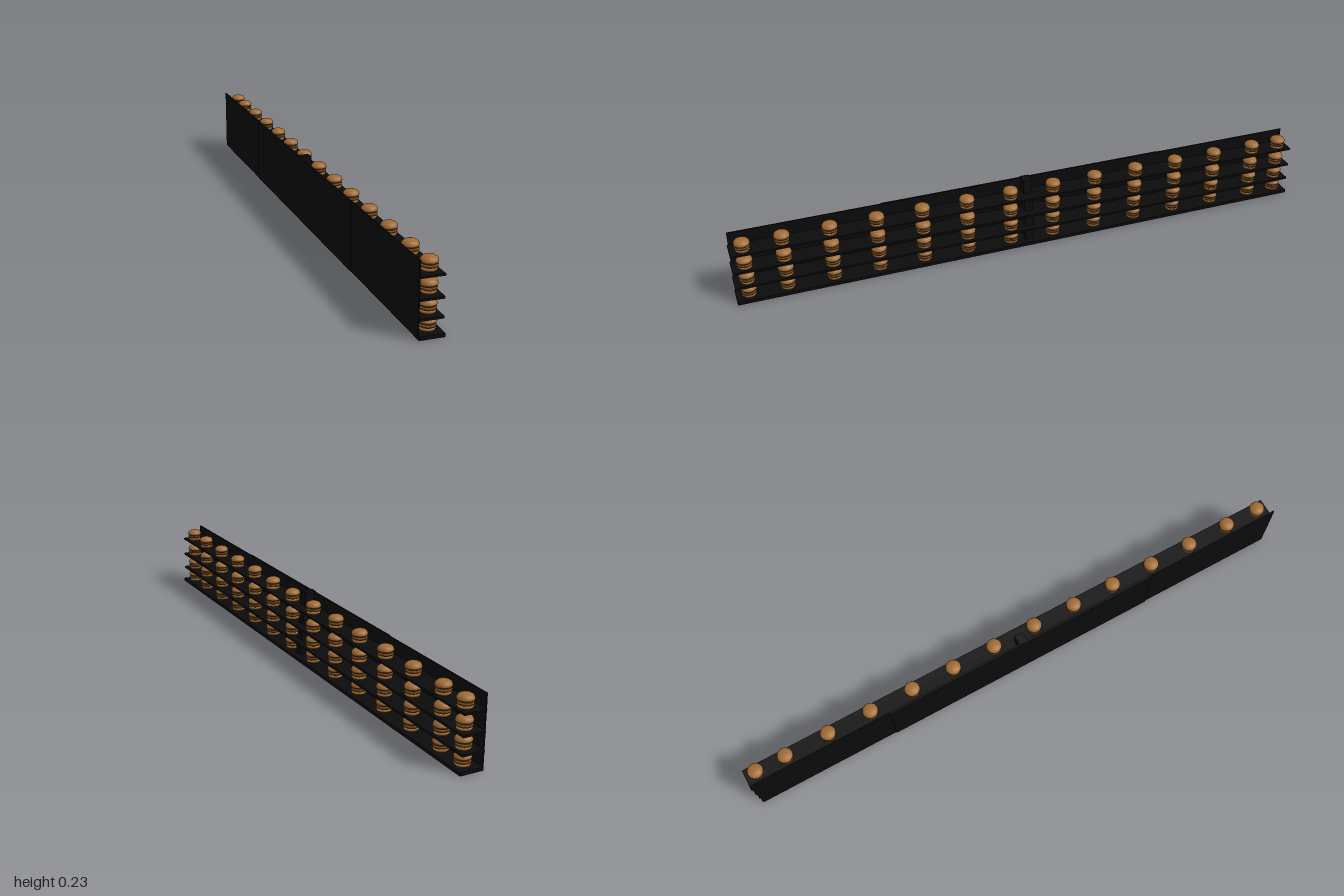
import * as THREE from 'three';

const mat = (name, color) => {
  const m = new THREE.MeshStandardMaterial({ color });
  m.name = name;
  return m;
};

export function createModel() {
  const black = mat('black', 0x0b0b0b);
  const bunBrown = mat('bunBrown', 0xa06b34);
  const pattyBrown = mat('pattyBrown', 0x7a4e24);
  const seamDark = mat('seamDark', 0x35220f);
  const cheeseTan = mat('cheeseTan', 0x946228);

  const model = new THREE.Group();
  model.name = 'burgerShelf';

  const box = (name, x0, x1, y0, y1, z0, z1) => {
    const m = new THREE.Mesh(new THREE.BoxGeometry(x1 - x0, y1 - y0, z1 - z0), black);
    m.name = name;
    m.position.set((x0 + x1) / 2, (y0 + y1) / 2, (z0 + z1) / 2);
    model.add(m);
  };

  // Back wall in four panels, the middle pair set slightly further back
  for (let i = 0; i < 4; i++) {
    const back = i === 1 || i === 2 ? -0.042 : -0.039;
    box('backPanel', back, -0.035, 0.005, 0.228, -0.996 + i * 0.498, -0.498 + i * 0.498);
  }

  // Base and three shelves
  box('base', -0.036, 0.041, 0, 0.011, -1, 1);
  const shelves = [[0.055, 0.062], [0.112, 0.119], [0.177, 0.183]];
  for (const [y0, y1] of shelves) box('shelf', -0.037, 0.036, y0, y1, -1, 1);

  // Tapered centre brace
  const side = new THREE.Shape([
    new THREE.Vector2(-0.042, 0.005), new THREE.Vector2(0.02, 0.005),
    new THREE.Vector2(-0.004, 0.231), new THREE.Vector2(-0.042, 0.231),
  ]);
  const brace = new THREE.Mesh(
    new THREE.ExtrudeGeometry(side, { depth: 0.03, bevelEnabled: false }), black);
  brace.name = 'centreBrace';
  brace.position.z = -0.015;
  model.add(brace);

  // Burger layers, turned from [radius, height] profiles
  const lathe = (pts) =>
    new THREE.LatheGeometry(pts.map(([r, y]) => new THREE.Vector2(r, y)), 20);
  const layers = [
    ['bottomBun', bunBrown, lathe([[0, 0], [0.021, 0], [0.0235, 0.003], [0.0245, 0.01], [0, 0.01]])],
    ['lowerSeam', seamDark, lathe([[0, 0.01], [0.0235, 0.01], [0.0235, 0.0115], [0, 0.0115]])],
    ['patty', pattyBrown, lathe([[0, 0.0115], [0.024, 0.0115], [0.0252, 0.015], [0.024, 0.0195], [0, 0.0195]])],
    ['upperSeam', seamDark, lathe([[0, 0.0195], [0.0235, 0.0195], [0.0235, 0.0225], [0, 0.0225]])],
    ['topBun', bunBrown, lathe([[0, 0.0225], [0.024, 0.0225], [0.026, 0.025], [0.0258, 0.029],
      [0.023, 0.035], [0.017, 0.039], [0.009, 0.0415], [0, 0.042]])],
  ];
  const cheeseGeo = new THREE.BoxGeometry(0.04, 0.0015, 0.04);

  const makeBurger = () => {
    const burger = new THREE.Group();
    burger.name = 'burger';
    for (const [name, material, geo] of layers) {
      const m = new THREE.Mesh(geo, material);
      m.name = name;
      burger.add(m);
    }
    const cheese = new THREE.Mesh(cheeseGeo, cheeseTan);
    cheese.name = 'cheese';
    cheese.position.y = 0.0205;
    cheese.rotation.y = Math.PI / 4;
    cheese.scale.set(0.95, 1, 0.95);
    burger.add(cheese);
    return burger;
  };

  // Fourteen burgers on every level
  const zs = [-0.96, 0.957];
  for (let i = 0; i < 12; i++) zs.push(-0.855 + i * 0.1534);
  for (const y of [0.011, 0.062, 0.119, 0.183]) {
    for (const z of zs) {
      const burger = makeBurger();
      burger.position.set(0.006, y, z);
      model.add(burger);
    }
  }
  return model;
}
